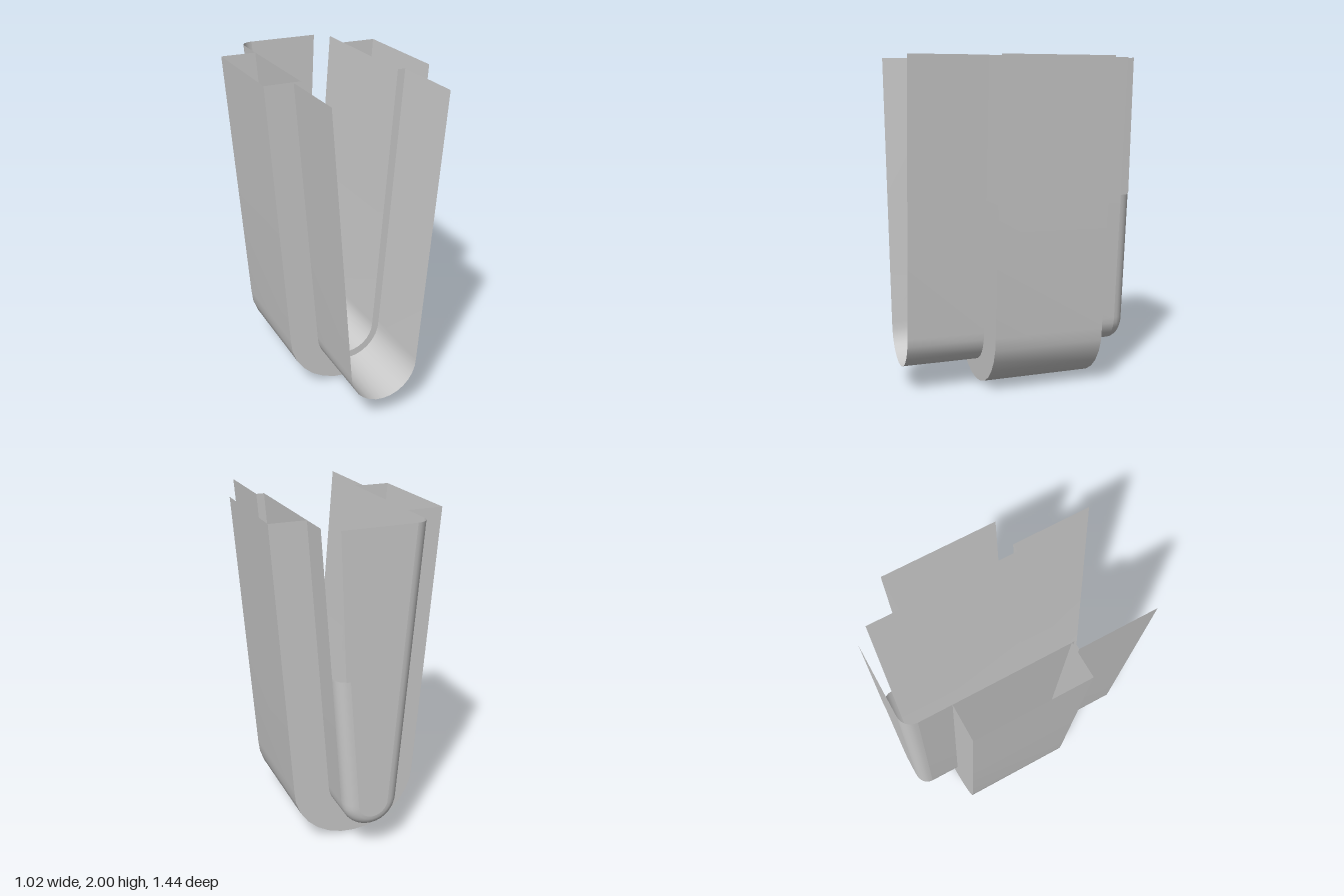
import * as THREE from 'three';
import { toCreasedNormals } from 'three/addons/utils/BufferGeometryUtils.js';

const TOP = 2, SLIT = 1.16, ARC = 14;

// U outline from the +x rim, under the bottom, to the -x rim
function uProfile(topHalf, rx, kneeY, bottomY) {
  const midHalf = rx + (topHalf - rx) * (SLIT - kneeY) / (TOP - kneeY);
  const pts = [[topHalf, TOP], [midHalf, SLIT]];
  for (let i = 0; i <= ARC; i++) {
    const a = Math.PI * i / ARC;
    pts.push([rx * Math.cos(a), kneeY - (kneeY - bottomY) * Math.sin(a)]);
  }
  pts.push([-midHalf, SLIT], [-topHalf, TOP]);
  return pts;
}

// Sheet through consecutive rows { pts, z }; "skipFirst" leaves out the upper +x strip
function sheet(rows, skipFirst = false) {
  const pos = [];
  for (let r = 0; r + 1 < rows.length; r++) {
    const A = rows[r], B = rows[r + 1];
    for (let i = skipFirst ? 1 : 0; i + 1 < A.pts.length; i++) {
      const a = [...A.pts[i], A.z], b = [...A.pts[i + 1], A.z];
      const c = [...B.pts[i + 1], B.z], d = [...B.pts[i], B.z];
      pos.push(...a, ...b, ...c, ...a, ...c, ...d);
    }
  }
  const g = new THREE.BufferGeometry();
  g.setAttribute('position', new THREE.Float32BufferAttribute(pos, 3));
  return toCreasedNormals(g, 0.6);
}

export function createModel() {
  const group = new THREE.Group();
  const mat = new THREE.MeshStandardMaterial({ color: 0xcccccc, side: THREE.DoubleSide });
  const add = (name, geo) => {
    const m = new THREE.Mesh(geo, mat);
    m.name = name;
    group.add(m);
    return m;
  };

  const inner = (d = 0) => uProfile(0.295 - d, 0.17 - d, 0.36, 0.19 + d);
  const front = uProfile(0.343, 0.215, 0.36, 0.143);
  const outer = uProfile(0.51, 0.39, 0.37, 0.005);
  const stepZ = 0.25, pocketFront = 0.235, pocketBack = -0.45;
  const bendZ = -0.642, bendR = 0.078;

  // Wider front trough and the step down to the inner one
  add('frontTrough', sheet([{ pts: front, z: 0.72 }, { pts: front, z: stepZ }]));
  add('troughStep', sheet([{ pts: front, z: stepZ }, { pts: inner(), z: stepZ }]));

  // Inner trough
  add('innerTrough', sheet([{ pts: inner(), z: stepZ }, { pts: inner(), z: bendZ }]));

  // Rounded rear corner, slit open on the upper +x side
  const bend = [];
  for (let i = 0; i <= 6; i++) {
    const a = Math.PI / 2 * i / 6;
    bend.push({ pts: inner(bendR * (1 - Math.cos(a))), z: bendZ - bendR * Math.sin(a) });
  }
  add('rearCorner', sheet(bend, true));

  // Flat rear wall, with the narrow sliver beside the slit
  const flat = (pts) => new THREE.ShapeGeometry(new THREE.Shape(pts.map(p => new THREE.Vector2(...p))));
  const rim = inner(bendR);
  add('rearWall', flat(rim)).position.z = bendZ - bendR;
  add('slitEdge', flat([rim[1], [0.18, SLIT], rim[0]])).position.z = bendZ - bendR;

  // Outer pocket wrapped around the inner trough, open at the top
  add('outerPocket', sheet([{ pts: outer, z: pocketFront }, { pts: outer, z: pocketBack }]));
  // Pocket ends; the front one is open on the upper +x side
  add('pocketFrontEnd', sheet([{ pts: outer, z: pocketFront }, { pts: inner(), z: pocketFront }], true));
  add('pocketBackEnd', sheet([{ pts: outer, z: pocketBack }, { pts: inner(), z: pocketBack }]));

  return group;
}
